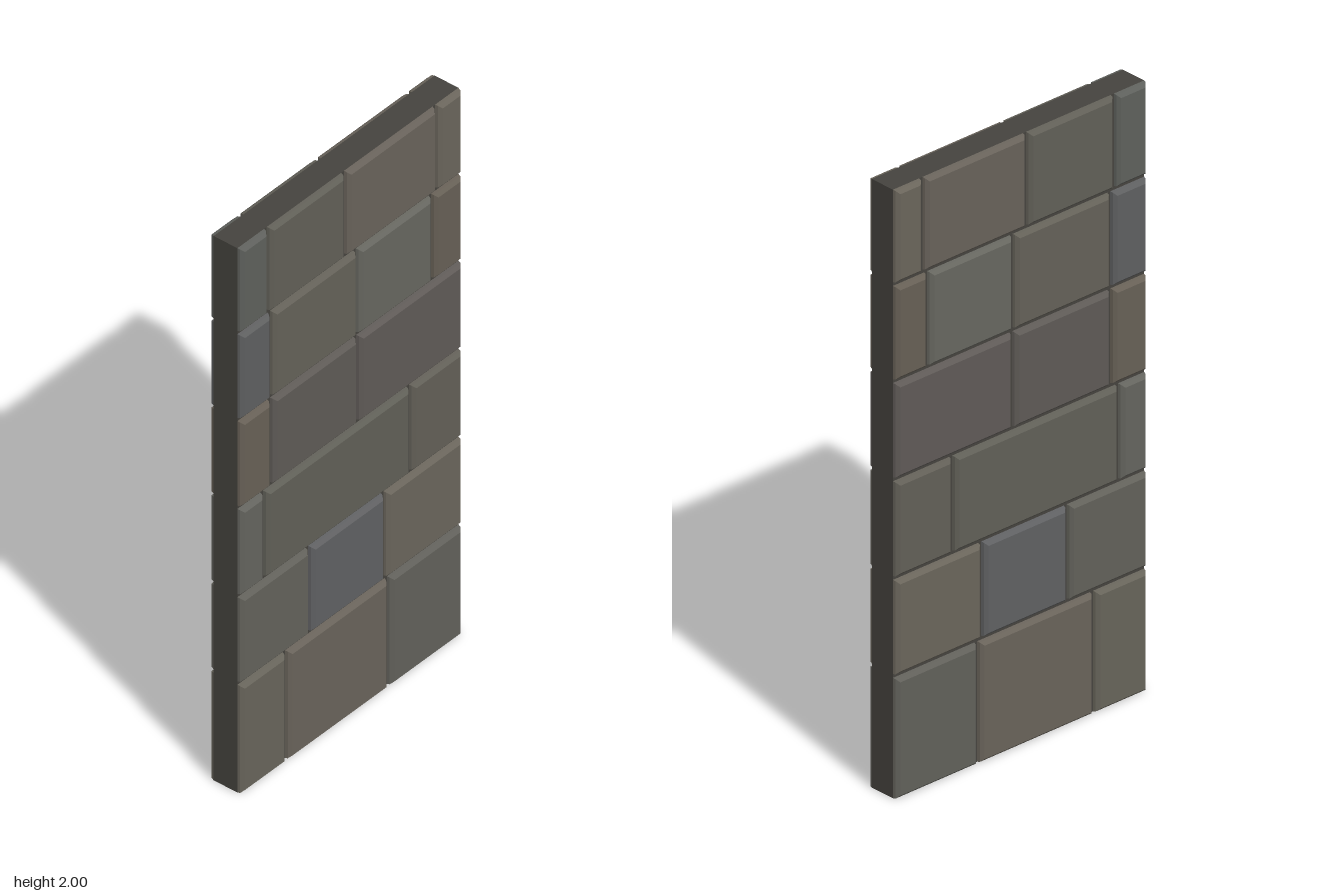
import * as THREE from 'three';

const LEFT = -0.498, RIGHT = 0.495, HEIGHT = 2;
const CORE = 0.045, FACE = 0.064; // half depths of the core and of the stone faces
const GAP = 0.006;                // half width of a joint at its bottom

// Courses from the bottom up: top height, inner joints, stone colors
const courses = [
  { top: 0.402, joints: [-0.29, 0.168], colors: [0x67645a, 0x69635a, 0x61605a] },
  { top: 0.724, joints: [-0.186, 0.152], colors: [0x62615a, 0x5f6062, 0x6a655b] },
  { top: 1.048, joints: [-0.389, 0.267], colors: [0x64645e, 0x605f57, 0x625f57] },
  { top: 1.371, joints: [-0.358, 0.03], colors: [0x676056, 0x5e5a56, 0x5f5a57] },
  { top: 1.69, joints: [-0.358, 0.028, 0.366], colors: [0x5e5f60, 0x646158, 0x66665f, 0x665f55] },
  { top: HEIGHT, joints: [-0.372, -0.025, 0.385], colors: [0x5e605c, 0x615f57, 0x68625a, 0x6a655b] },
];

// Heights and insets of the stone's edge: a slight taper, then a bevel
const levels = [{ z: CORE, inset: 0 }, { z: 0.054, inset: 0.002 }, { z: FACE, inset: 0.012 }];

function stoneGeometry(w, h) {
  const box = new THREE.BoxGeometry(w, h, 2, 1, 1, 2);
  const p = box.attributes.position;
  for (let i = 0; i < p.count; i++) {
    const { z, inset } = levels[Math.round(p.getZ(i)) + 1];
    p.setXYZ(i, p.getX(i) - Math.sign(p.getX(i)) * inset, p.getY(i) - Math.sign(p.getY(i)) * inset, z);
  }
  const flat = box.toNonIndexed();
  flat.computeVertexNormals();
  return flat;
}

export function createModel() {
  const wall = new THREE.Group();
  wall.name = 'stoneWall';

  // Mortar core, visible in the joints and along the rim
  const core = new THREE.Mesh(
    new THREE.BoxGeometry(RIGHT - LEFT, HEIGHT, CORE * 2),
    new THREE.MeshStandardMaterial({ color: 0x45433e })
  );
  core.name = 'mortarCore';
  core.position.set((LEFT + RIGHT) / 2, HEIGHT / 2, 0);
  wall.add(core);

  // Stones on both faces, sharing the same joints
  let bottom = 0;
  courses.forEach(({ top, joints, colors }, row) => {
    const course = new THREE.Group();
    course.name = `course${row + 1}`;
    const y0 = row === 0 ? 0 : bottom + GAP;
    const y1 = row === courses.length - 1 ? HEIGHT : top - GAP;
    const edges = [LEFT, ...joints, RIGHT];
    colors.forEach((color, i) => {
      const x0 = edges[i] + (i === 0 ? 0 : GAP);
      const x1 = edges[i + 1] - (i === colors.length - 1 ? 0 : GAP);
      const geometry = stoneGeometry(x1 - x0, y1 - y0);
      const material = new THREE.MeshStandardMaterial({ color });
      for (const side of ['front', 'back']) {
        const stone = new THREE.Mesh(geometry, material);
        stone.name = `${side}Stone${i + 1}`;
        stone.position.set((x0 + x1) / 2, (y0 + y1) / 2, 0);
        if (side === 'back') stone.rotation.y = Math.PI;
        course.add(stone);
      }
    });
    wall.add(course);
    bottom = top;
  });

  return wall;
}
